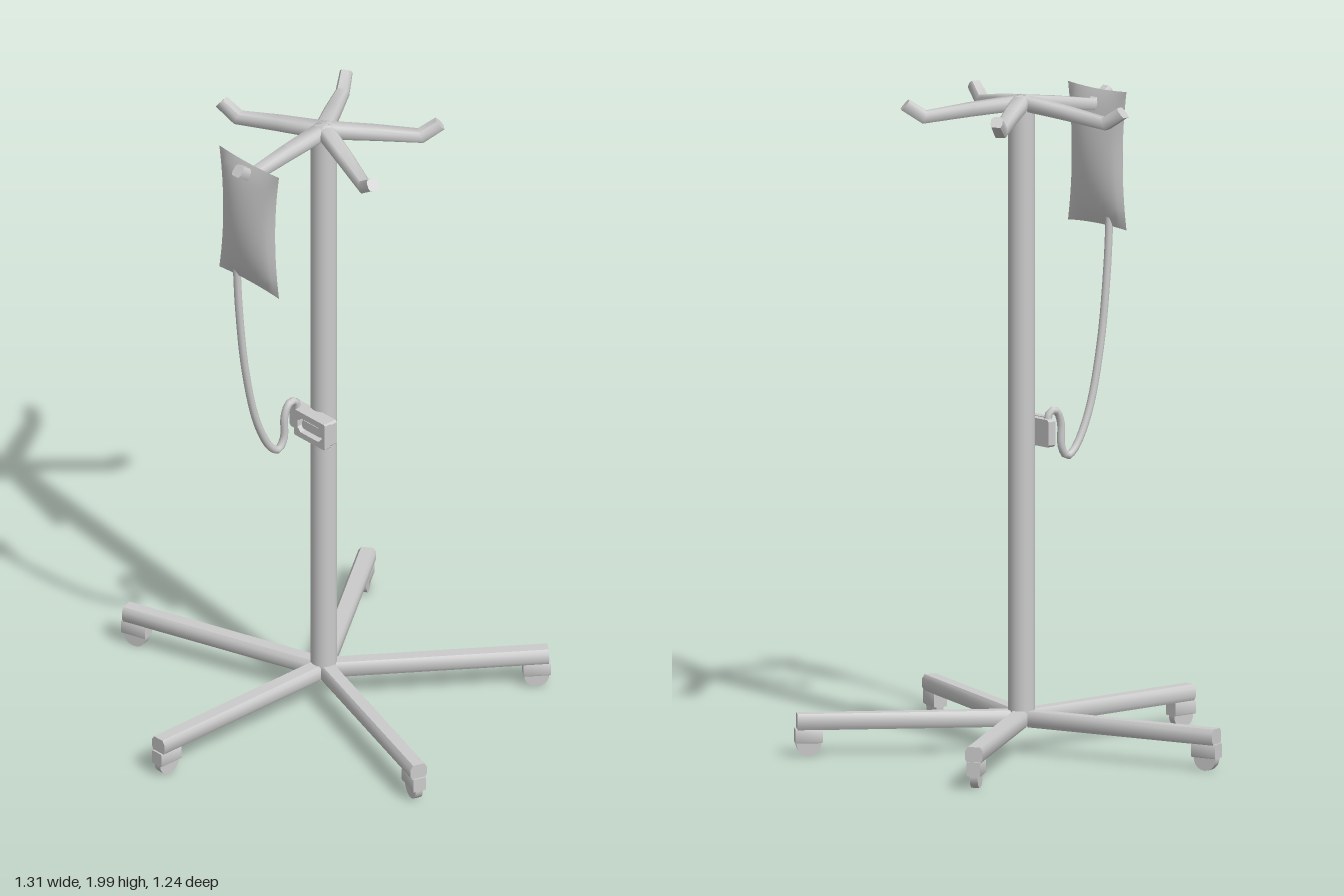
import * as THREE from 'three';
import { toCreasedNormals } from 'three/addons/utils/BufferGeometryUtils.js';

const grey = new THREE.MeshStandardMaterial({ color: 0xcccccc });
const CENTRE_Z = -0.055;

function add(parent, name, geometry, x = 0, y = 0, z = 0) {
  const mesh = new THREE.Mesh(geometry, grey);
  mesh.name = name;
  mesh.position.set(x, y, z);
  parent.add(mesh);
  return mesh;
}

// Bar along +z with a chamfered section; each section is [zTop, yTop, zBottom, yBottom, halfWidth]
function barGeometry(sections, c = 0.25) {
  const outline = [[1, c], [1, 1 - c], [1 - c * 1.3, 1], [-1 + c * 1.3, 1],
    [-1, 1 - c], [-1, c], [-1 + c, 0], [1 - c, 0]];
  const n = outline.length, pos = [], index = [];
  for (const [zt, yt, zb, yb, w] of sections)
    for (const [u, v] of outline) pos.push(u * w, yb + (yt - yb) * v, zb + (zt - zb) * v);
  const last = (sections.length - 1) * n;
  for (let k = 0; k < last; k += n)
    for (let i = 0; i < n; i++) {
      const j = (i + 1) % n;
      index.push(k + i, k + j, k + n + j, k + i, k + n + j, k + n + i);
    }
  for (let i = 1; i < n - 1; i++) index.push(0, i + 1, i, last, last + i, last + i + 1);
  const g = new THREE.BufferGeometry();
  g.setAttribute('position', new THREE.Float32BufferAttribute(pos, 3));
  g.setIndex(index);
  return toCreasedNormals(g, 0.9);
}

// Pillow with pinched corners and sharp edges: two bulged sheets
function bagGeometry(side) {
  const g = new THREE.PlaneGeometry(2, 2, 14, 14);
  const p = g.attributes.position;
  for (let i = 0; i < p.count; i++) {
    const u = p.getX(i), v = p.getY(i);
    const bulge = Math.pow((1 - u * u) * (1 - v * v), 0.75);
    p.setXYZ(i, u * (0.114 + 0.017 * v * v), v * (0.204 + 0.006 * u * u), bulge * 0.041);
  }
  if (side < 0) g.rotateY(Math.PI);
  g.computeVertexNormals();
  return g;
}

function chamferedRect(x0, x1, y0, y1, c, Type = THREE.Shape) {
  return new Type([[x0 + c, y0], [x1 - c, y0], [x1, y0 + c], [x1, y1 - c],
    [x1 - c, y1], [x0 + c, y1], [x0, y1 - c], [x0, y0 + c]].map(([x, y]) => new THREE.Vector2(x, y)));
}

export function createModel() {
  const model = new THREE.Group();
  model.name = 'dripStand';

  // Pole
  add(model, 'pole', new THREE.CylinderGeometry(0.04, 0.04, 1.89, 24), 0, 1.03, CENTRE_Z);

  // Five legs with casters, and five hooked arms above them
  const legShape = barGeometry([[0, 0.134, 0, 0.085, 0.027], [0.675, 0.134, 0.675, 0.085, 0.027]]);
  const armShape = barGeometry([
    [0, 1.998, 0, 1.955, 0.028],
    [0.15, 1.977, 0.15, 1.938, 0.025],
    [0.285, 1.954, 0.298, 1.918, 0.02],
    [0.338, 1.988, 0.362, 1.96, 0.018],
  ]);
  const forkShape = barGeometry([[-0.041, 0.088, -0.041, 0.045, 0.021], [0.041, 0.088, 0.041, 0.045, 0.021]], 0.08);
  const wheelShape = new THREE.CylinderGeometry(0.038, 0.038, 0.024, 20).rotateZ(Math.PI / 2);
  for (let i = 0; i < 5; i++) {
    const spoke = new THREE.Group();
    spoke.name = 'spoke' + (i + 1);
    spoke.position.z = CENTRE_Z;
    spoke.rotation.y = i * Math.PI * 2 / 5;
    add(spoke, 'leg', legShape);
    add(spoke, 'hookArm', armShape);
    add(spoke, 'casterFork', forkShape, 0, 0, 0.64);
    add(spoke, 'casterWheel', wheelShape, 0, 0.043, 0.64);
    model.add(spoke);
  }

  // Fluid bag hanging on the front hook
  const bag = new THREE.Group();
  bag.name = 'fluidBag';
  bag.position.set(0, 1.778, 0.249);
  add(bag, 'bagFront', bagGeometry(1));
  add(bag, 'bagBack', bagGeometry(-1));
  model.add(bag);

  // Drip tube from the bag down to the pump
  const path = [[1.6, 0.247], [1.45, 0.238], [1.22, 0.211], [1.02, 0.163], [0.915, 0.108],
    [0.895, 0.077], [0.925, 0.055], [1.0, 0.052], [1.036, 0.034], [1.036, 0.008], [1.0, -0.003]]
    .map(([y, z]) => new THREE.Vector3(-0.057, y, z));
  add(model, 'dripTube', new THREE.TubeGeometry(new THREE.CatmullRomCurve3(path), 60, 0.012, 10));

  // Pump: back body and a front frame around a sunken display
  add(model, 'pumpBody', new THREE.ExtrudeGeometry(chamferedRect(-0.088, 0.09, 0.935, 1.018, 0.006),
    { depth: 0.027, bevelEnabled: false }), 0, 0, -0.025);
  const frame = chamferedRect(-0.044, 0.09, 0.932, 1.02, 0.004);
  frame.holes.push(chamferedRect(-0.03, 0.076, 0.951, 1.0, 0.014, THREE.Path));
  add(model, 'pumpFrame', new THREE.ExtrudeGeometry(frame, { depth: 0.025, bevelEnabled: false }), 0, 0, 0);
  add(model, 'pumpDisplay', new THREE.ExtrudeGeometry(chamferedRect(-0.02, 0.066, 0.961, 0.99, 0.008),
    { depth: 0.016, bevelEnabled: false }), 0, 0, 0);

  return model;
}
